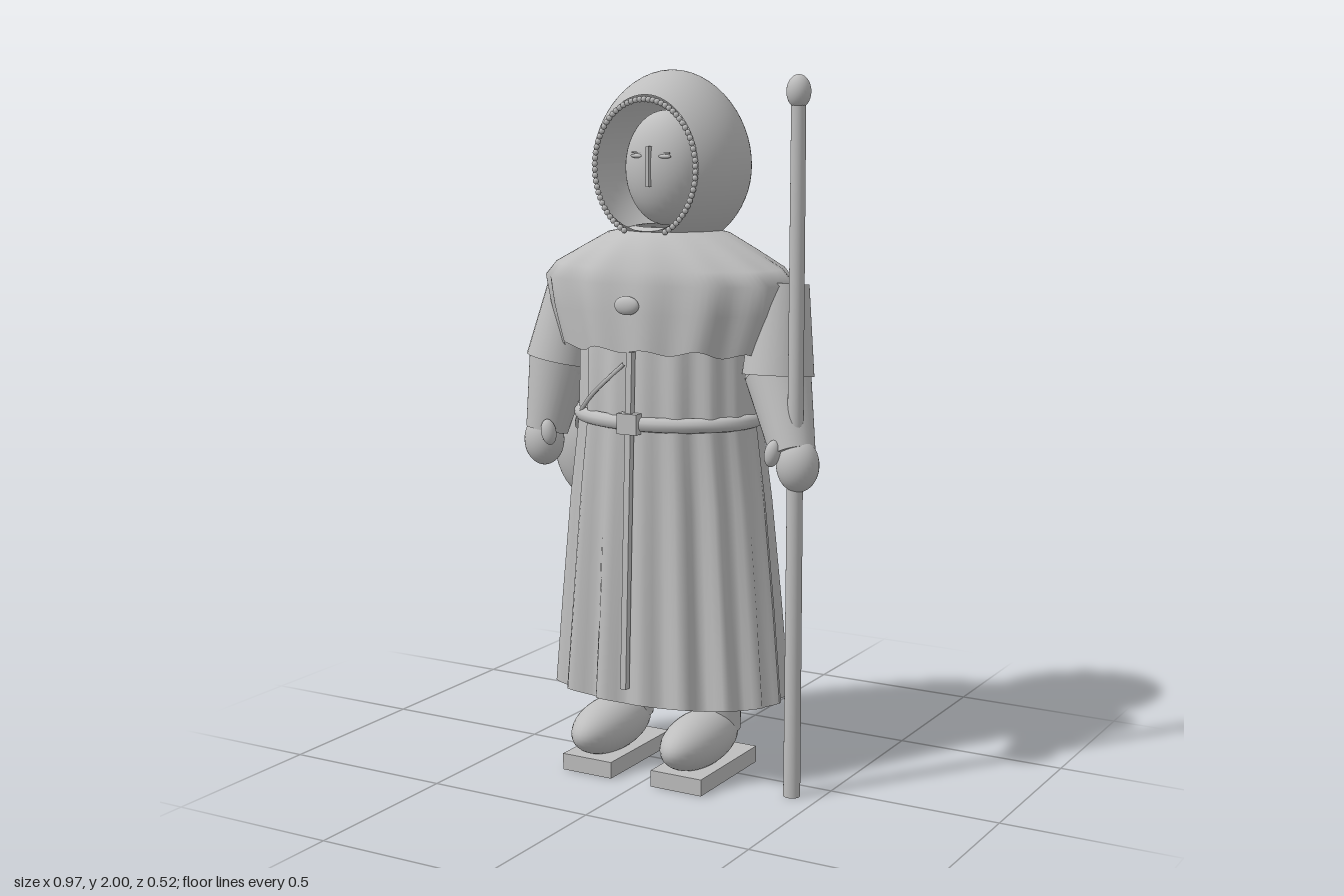
import * as THREE from 'three';

const CX = -0.025; // centre line of the figure

export function createModel() {
  const model = new THREE.Group();
  model.name = 'hoodedPilgrim';
  const grey = new THREE.MeshStandardMaterial({ color: 0xbebebe });
  grey.name = 'clay grey';
  const greyOpen = new THREE.MeshStandardMaterial({ color: 0xbebebe, side: THREE.DoubleSide });
  greyOpen.name = 'clay grey cloth';

  function add(name, geometry, x = 0, y = 0, z = 0, material = grey) {
    const mesh = new THREE.Mesh(geometry, material);
    mesh.name = name;
    mesh.position.set(x, y, z);
    model.add(mesh);
    return mesh;
  }
  const ball = (rx, ry, rz) => new THREE.SphereGeometry(1, 32, 20).scale(rx, ry, rz);
  const box = (w, h, d) => new THREE.BoxGeometry(w, h, d);

  // Tapered limb between two points
  function limb(name, a, b, ra, rb) {
    const from = new THREE.Vector3(...a), to = new THREE.Vector3(...b);
    const dir = to.clone().sub(from);
    const mesh = add(name, new THREE.CylinderGeometry(rb, ra, dir.length(), 28));
    mesh.position.copy(from).addScaledVector(dir, 0.5);
    mesh.quaternion.setFromUnitVectors(new THREE.Vector3(0, 1, 0), dir.normalize());
    return mesh;
  }

  // Cloth from oval rings [y, rx, rz, fold depth, hem ripple], top to bottom
  function cloth(name, rings, folds, phase) {
    const n = 112, pos = [], index = [];
    rings.forEach(([y, rx, rz, depth, ripple], r) => {
      for (let i = 0; i <= n; i++) {
        const a = (i % n) / n * Math.PI * 2;
        const wave = Math.cos(a * folds + phase) + 0.35 * Math.sin(a * (folds - 5));
        pos.push(CX + Math.cos(a) * (rx + depth * wave),
          y + ripple * (Math.sin(a) + 0.4 * wave),
          Math.sin(a) * (rz + depth * wave));
        if (r && i < n) {
          const p = (r - 1) * (n + 1) + i, q = p + n + 1;
          index.push(p, p + 1, q, p + 1, q + 1, q);
        }
      }
    });
    const g = new THREE.BufferGeometry();
    g.setAttribute('position', new THREE.Float32BufferAttribute(pos, 3));
    g.setIndex(index);
    g.computeVertexNormals();
    return add(name, g, 0, 0, 0, greyOpen);
  }

  // Robe and shoulder cape
  cloth('robe', [
    [1.42, 0.24, 0.17, 0, 0], [1.25, 0.265, 0.2, 0.006, 0], [1.03, 0.27, 0.205, 0.006, 0],
    [0.8, 0.298, 0.215, 0.01, 0], [0.5, 0.325, 0.228, 0.014, 0], [0.225, 0.346, 0.242, 0.017, 0.014],
  ], 17, 0.6);
  cloth('shoulderCape', [
    [1.57, 0.09, 0.1, 0, 0], [1.55, 0.18, 0.15, 0, 0], [1.505, 0.265, 0.185, 0.002, 0],
    [1.46, 0.35, 0.207, 0.004, 0], [1.42, 0.385, 0.218, 0.006, 0], [1.34, 0.365, 0.224, 0.007, 0],
    [1.22, 0.325, 0.226, 0.008, 0.018],
  ], 13, 0.3);

  // Front placket following the slope of the robe
  const placket = add('frontPlacket', box(0.018, 0.95, 0.02), CX, 0.76, 0.231);
  placket.rotation.x = -0.042;

  // Brooch, belt and buckle
  add('brooch', ball(0.038, 0.026, 0.016), CX, 1.365, 0.232);
  const belt = new THREE.CatmullRomCurve3(Array.from({ length: 24 }, (_, i) => {
    const a = i / 24 * Math.PI * 2;
    return new THREE.Vector3(Math.cos(a) * 0.266, 0, Math.sin(a) * 0.205);
  }), true);
  add('belt', new THREE.TubeGeometry(belt, 96, 0.021, 10, true), CX, 1.035, 0);
  add('buckle', box(0.062, 0.058, 0.03), CX, 1.037, 0.222);

  // Satchel on the hip with its thin strap
  add('satchel', ball(0.115, 0.168, 0.078), -0.345, 0.912, -0.085);
  const strap = new THREE.CatmullRomCurve3([
    new THREE.Vector3(-0.05, 1.2, 0.205), new THREE.Vector3(-0.17, 1.1, 0.185),
    new THREE.Vector3(-0.28, 1.0, 0.09), new THREE.Vector3(-0.33, 0.95, -0.03),
  ]);
  add('satchelStrap', new THREE.TubeGeometry(strap, 24, 0.006, 6));

  // Hood: an egg shell cut open at the front plane
  const cut = Math.acos(0.15 / 0.225);
  const hood = new THREE.SphereGeometry(1, 56, 40, 0, Math.PI * 2, cut, Math.PI - cut);
  hood.rotateX(Math.PI / 2);
  const hp = hood.attributes.position;
  for (let i = 0; i < hp.count; i++) {
    const y = hp.getY(i);
    const narrow = y > 0 ? 1 - 0.07 * y * y : 1;
    hp.setXYZ(i, hp.getX(i) * 0.222 * narrow, y * (y > 0 ? 0.265 : 0.235), hp.getZ(i) * 0.225);
  }
  hood.computeVertexNormals();
  add('hood', hood, CX, 1.735, -0.02, greyOpen);

  // Beaded trim around the opening, with a gap under the chin
  const beads = 64, bead = new THREE.SphereGeometry(0.0085, 8, 6);
  for (let i = 0; i <= beads; i++) {
    const a = -Math.PI / 2 + 0.42 + (i / beads) * (Math.PI * 2 - 0.84), s = Math.sin(a);
    add('hoodBead', bead, CX + Math.cos(a) * 0.16, 1.735 + s * (s > 0 ? 0.185 : 0.19), 0.135);
  }

  // Face
  add('head', ball(0.122, 0.16, 0.1), CX, 1.73, 0.01);
  add('nose', box(0.009, 0.11, 0.02), CX, 1.737, 0.11);
  for (const s of [-1, 1]) {
    add('eye', ball(0.02, 0.006, 0.008), CX + s * 0.044, 1.765, 0.1);
    add('eyelid', box(0.03, 0.004, 0.008), CX + s * 0.044, 1.774, 0.099);
  }

  // Arms: wide upper sleeve, fitted forearm, hand and thumb
  const arms = [
    { side: 'left', shoulder: [0.32, 1.42, -0.025], elbow: [0.325, 1.17, 0.005], wrist: [0.41, 0.97, 0.08], hand: [0.428, 0.942, 0.088], thumb: [0.372, 0.975, 0.13] },
    { side: 'right', shoulder: [-0.345, 1.42, -0.025], elbow: [-0.388, 1.165, 0.005], wrist: [-0.415, 0.96, 0.04], hand: [-0.418, 0.932, 0.05], thumb: [-0.37, 0.965, 0.1] },
  ];
  for (const { side, shoulder, elbow, wrist, hand, thumb } of arms) {
    limb(side + 'UpperSleeve', shoulder, elbow, 0.075, 0.1);
    add(side + 'Elbow', ball(0.094, 0.09, 0.085), ...elbow);
    limb(side + 'Forearm', elbow, wrist, 0.092, 0.062);
    add(side + 'Hand', ball(0.06, 0.075, 0.055), ...hand);
    const t = add(side + 'Thumb', ball(0.022, 0.038, 0.022), ...thumb);
    t.rotation.z = side === 'left' ? -0.2 : 0.2;
  }

  // Staff with a rounded finial
  add('staff', new THREE.CylinderGeometry(0.02, 0.024, 1.92, 20), 0.42, 0.96, 0.088);
  add('staffFinial', ball(0.033, 0.045, 0.033), 0.42, 1.942, 0.088);

  // Legs, shoes and soles
  for (const s of [-1, 1]) {
    const x = CX + s * 0.147;
    add('leg', new THREE.CylinderGeometry(0.075, 0.07, 0.6, 24), x, 0.42, -0.02);
    add('shoe', ball(0.083, 0.08, 0.178), x, 0.115, 0.082);
    add('sole', box(0.162, 0.048, 0.335), x, 0.024, 0.053);
  }
  return model;
}
